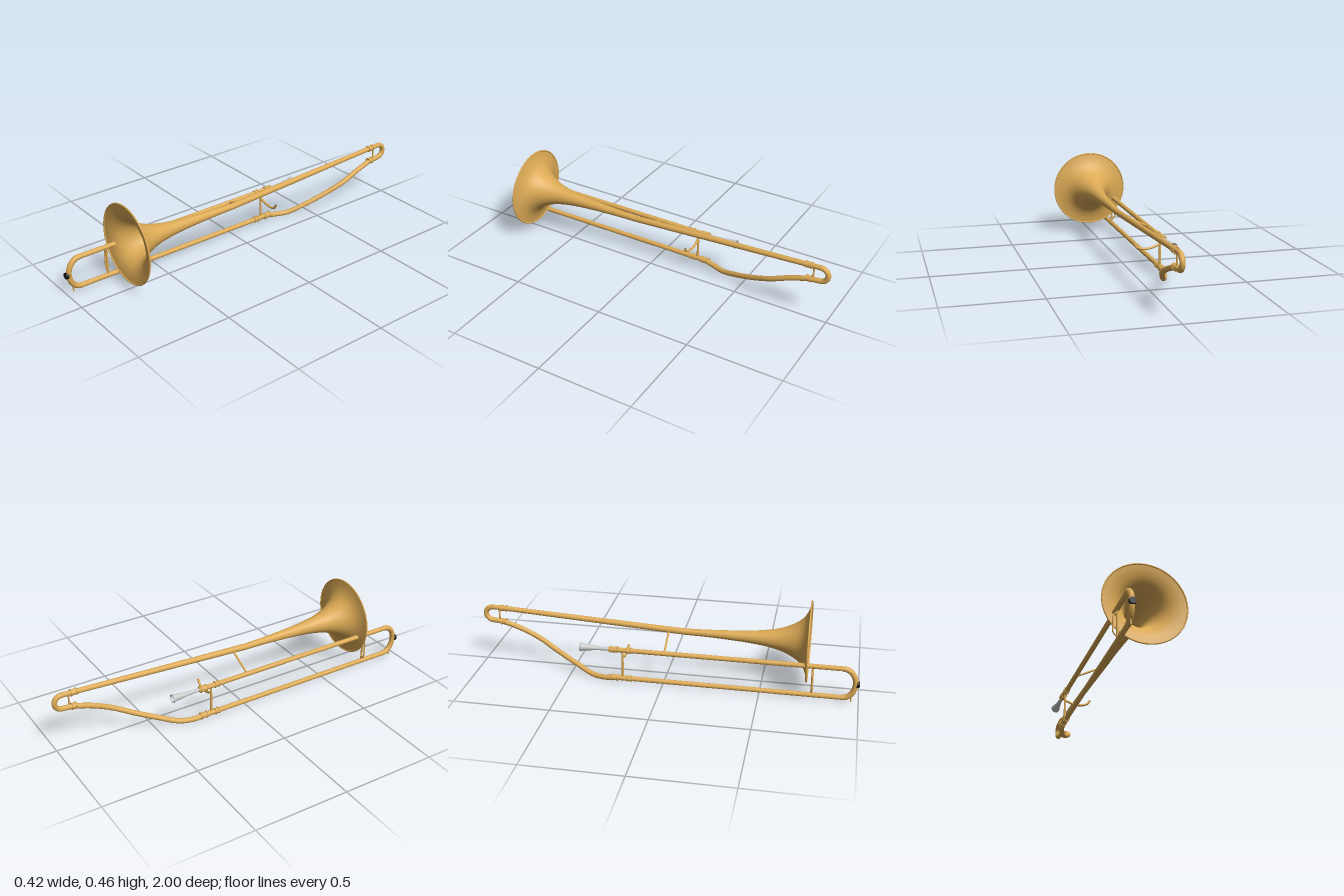
import * as THREE from 'three';

const brass = new THREE.MeshStandardMaterial({ color: 0xdcaa55, side: THREE.DoubleSide });
const silver = new THREE.MeshStandardMaterial({ color: 0xcccccc, side: THREE.DoubleSide });
const black = new THREE.MeshStandardMaterial({ color: 0x111111 });

const SX = -0.143;  // slide plane
const TOP = 0.187;  // upper slide tube height
const LOW = 0.026;  // lower slide tube height
const V = (x, y, z) => new THREE.Vector3(x, y, z);

export function createModel() {
  const model = new THREE.Group();
  model.name = 'trombone';

  function add(name, geometry, material = brass) {
    const mesh = new THREE.Mesh(geometry, material);
    mesh.name = name;
    model.add(mesh);
    return mesh;
  }
  // straight, optionally tapered, rod from a to b
  function rod(name, a, b, r0, r1 = r0, material = brass) {
    const dir = b.clone().sub(a);
    const mesh = add(name, new THREE.CylinderGeometry(r1, r0, dir.length(), 20), material);
    mesh.position.copy(a).add(b).multiplyScalar(0.5);
    mesh.quaternion.setFromUnitVectors(V(0, 1, 0), dir.normalize());
    return mesh;
  }
  // smooth bent tube through points
  function tube(name, points, r, segments = 64) {
    return add(name, new THREE.TubeGeometry(new THREE.CatmullRomCurve3(points), segments, r, 16));
  }
  // profile of [radius, z] pairs turned about a line parallel to z
  function turned(name, profile, x, y, material, smooth) {
    let pts = profile.map(([r, z]) => new THREE.Vector2(r, z));
    if (smooth) pts = new THREE.SplineCurve(pts).getPoints(smooth);
    const mesh = add(name, new THREE.LatheGeometry(pts, 64).rotateX(Math.PI / 2), material);
    mesh.position.set(x, y, 0);
    return mesh;
  }
  // half-ellipse of points in a z-y plane, from the top round to the bottom
  function bow(x, y, z, ry, rz) {
    return Array.from({ length: 13 }, (_, i) => {
      const t = (i / 12) * Math.PI;
      return V(x, y + ry * Math.cos(t), z + rz * Math.sin(t));
    });
  }
  function collar(name, x, y, z0, z1, r) {
    rod(name, V(x, y, z0), V(x, y, z1), r);
    for (const z of [z0, z1]) add(name + 'Ring', new THREE.TorusGeometry(r, 0.003, 8, 24)).position.set(x, y, z);
  }

  // Bell with rolled rim
  turned('bell', [[0.0165, 0.08], [0.019, 0.2], [0.025, 0.33], [0.034, 0.45], [0.047, 0.54], [0.066, 0.61],
    [0.096, 0.67], [0.128, 0.705], [0.165, 0.724], [0.207, 0.734]], 0, 0.253, brass, 60);
  add('bellRim', new THREE.TorusGeometry(0.206, 0.004, 10, 72)).position.set(0, 0.253, 0.734);

  // Rising bell tube, tuning bow and gooseneck
  rod('bellTube', V(0, 0.253, 0.09), V(0, 0.308, -0.945), 0.0168, 0.0125);
  tube('tuningBowAndGooseneck', [...bow(0, 0.27, -0.945, 0.038, -0.042),
    V(0, 0.225, -0.89), V(0, 0.193, -0.79), V(-0.006, 0.148, -0.69), V(-0.036, 0.1, -0.59),
    V(-0.075, 0.052, -0.475), V(-0.113, 0.0175, -0.375), V(-0.137, 0.018, -0.3),
    V(SX, 0.026, -0.25), V(SX, LOW, -0.19)], 0.0135, 140);
  collar('tuningCollar', 0, 0.305, -0.9, -0.87, 0.0155);
  collar('tuningCollar', 0, 0.228, -0.9, -0.878, 0.0155);
  rod('tuningBrace', V(0, 0.232, -0.912), V(0, 0.305, -0.912), 0.0045);

  // Hand slide
  rod('upperSlideTube', V(SX, TOP, -0.28), V(SX, TOP, 0.92), 0.0125);
  rod('lowerSlideTube', V(SX, LOW, -0.25), V(SX, LOW, 0.92), 0.0125);
  tube('slideBow', bow(SX, (TOP + LOW) / 2, 0.915, (TOP - LOW) / 2, 0.065), 0.0142);
  for (const y of [TOP, LOW]) {
    collar('slideCollar', SX, y, -0.185, -0.165, 0.0145);
    collar('slideCollar', SX, y, -0.27, -0.235, 0.0155);
  }
  rod('slideBumper', V(SX, 0.106, 0.985), V(SX, 0.106, 1.0), 0.0175, 0.0165, black);
  rod('waterKey', V(SX, 0.008, 0.962), V(SX, 0.035, 0.962), 0.004);

  // Braces
  rod('gripBrace', V(SX, LOW, -0.208), V(SX, TOP, -0.208), 0.006);
  rod('slideBrace', V(SX, LOW, 0.765), V(SX, TOP, 0.765), 0.006);
  tube('slideHandle', [V(SX, 0.045, 0.765), V(-0.156, 0.056, 0.765), V(-0.163, 0.068, 0.765), V(-0.163, 0.107, 0.765),
    V(-0.163, 0.146, 0.765), V(-0.156, 0.158, 0.765), V(SX, 0.168, 0.765)], 0.0038);
  rod('bellBrace', V(SX, TOP, 0.01), V(0, 0.257, 0.01), 0.005);

  // Curved hand rest
  tube('handRest', [V(SX, 0.146, -0.208), V(-0.1, 0.13, -0.21), V(-0.055, 0.126, -0.207),
    V(-0.022, 0.137, -0.205), V(-0.008, 0.157, -0.204)], 0.006, 32);

  // Mouthpiece with hollow cup
  turned('mouthpiece', [[0.0095, -0.265], [0.0095, -0.31], [0.011, -0.345], [0.0145, -0.375], [0.0165, -0.395],
    [0.0185, -0.415], [0.0225, -0.422], [0.0225, -0.431], [0.018, -0.431], [0.0145, -0.41], [0.0075, -0.39],
    [0.003, -0.375], [0.003, -0.3]], SX, TOP, silver);

  return model;
}
